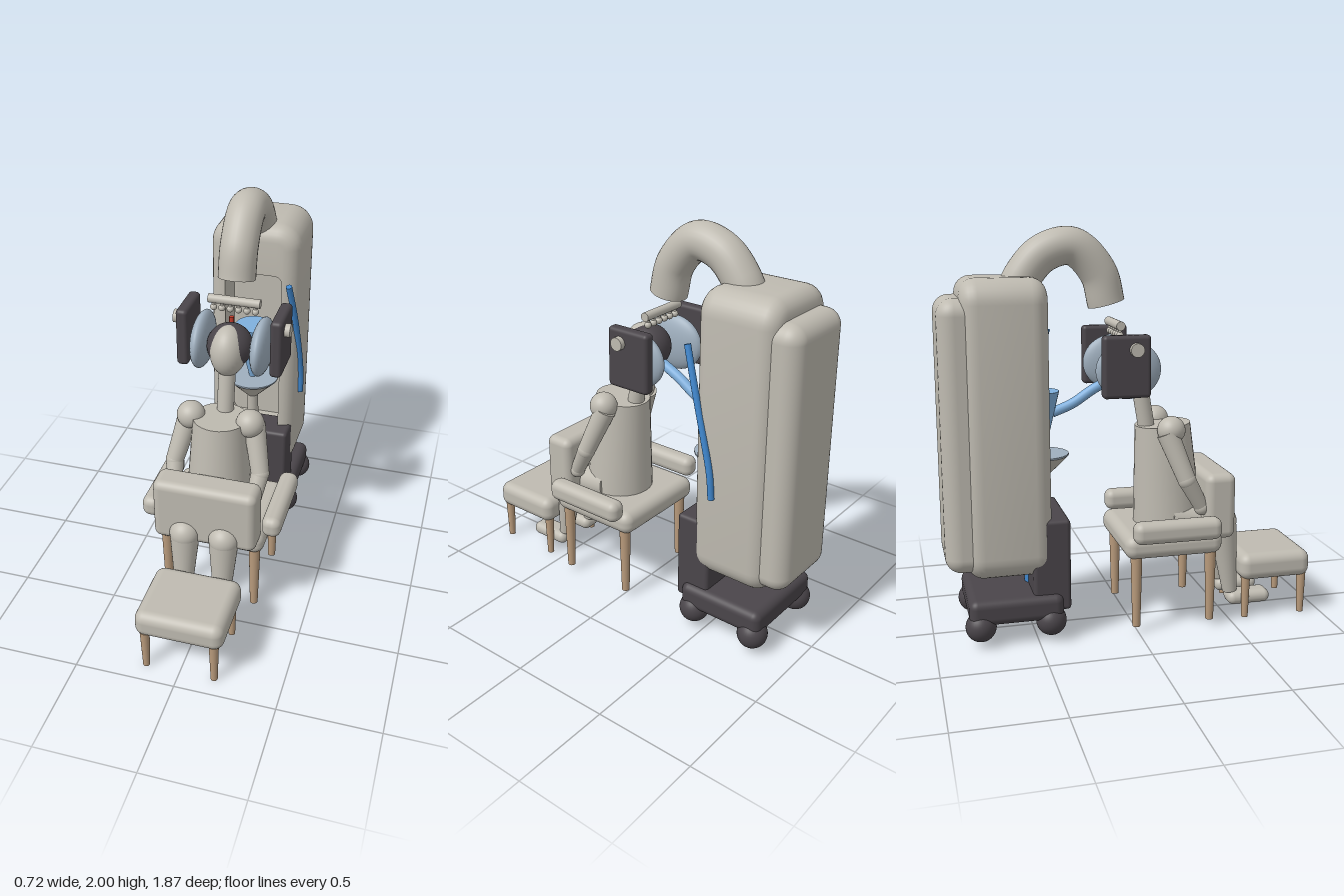
import * as THREE from 'three';
import { toCreasedNormals } from 'three/addons/utils/BufferGeometryUtils.js';
import { RoundedBoxGeometry } from 'three/addons/geometries/RoundedBoxGeometry.js';

const V = (x, y, z) => new THREE.Vector3(x, y, z);

// Skin through rounded-rectangle sections [halfWidth, yMin, yMax, radius, z]
function loft(sections) {
  const seg = 8, n = 4 * (seg + 1), pos = [], idx = [];
  for (const [w, y0, y1, r, z] of sections) {
    for (let c = 0; c < 4; c++) {
      const sx = c === 0 || c === 3 ? 1 : -1;
      const cy = c < 2 ? y1 - r : y0 + r;
      for (let i = 0; i <= seg; i++) {
        const a = (c + i / seg) * Math.PI / 2;
        pos.push(sx * (w - r) + r * Math.cos(a), cy + r * Math.sin(a), z);
      }
    }
  }
  for (let s = 0; s < sections.length - 1; s++) {
    for (let i = 0; i < n; i++) {
      const j = (i + 1) % n, a = s * n, b = a + n;
      idx.push(a + i, a + j, b + j, a + i, b + j, b + i);
    }
  }
  const last = (sections.length - 1) * n;
  for (let i = 1; i < n - 1; i++) {
    idx.push(0, i + 1, i, last, last + i, last + i + 1);
  }
  const g = new THREE.BufferGeometry();
  g.setAttribute('position', new THREE.Float32BufferAttribute(pos, 3));
  g.setIndex(idx);
  return toCreasedNormals(g, 0.7);
}

export function createModel() {
  const model = new THREE.Group();
  model.name = 'chairMachineAndFigure';
  const mat = (name, color) => {
    const m = new THREE.MeshStandardMaterial({ color });
    m.name = name;
    return m;
  };
  const grey = mat('warmGrey', 0xbfbbb1), dark = mat('charcoal', 0x4a454a);
  const tan = mat('wood', 0xb99b7c), steel = mat('paleSteel', 0x9fafbe);
  const sky = mat('lightBlue', 0x7fb0de), blue = mat('blue', 0x3f86cc);
  const red = mat('red', 0xc23b2a);

  const add = (name, geo, material, x = 0, y = 0, z = 0) => {
    const m = new THREE.Mesh(geo, material);
    m.name = name;
    m.position.set(x, y, z);
    model.add(m);
    return m;
  };
  // Rounded box from its extents
  const box = (name, material, x0, x1, y0, y1, z0, z1, r) =>
    add(name, new RoundedBoxGeometry(x1 - x0, y1 - y0, z1 - z0, 5, r), material,
      (x0 + x1) / 2, (y0 + y1) / 2, (z0 + z1) / 2);
  const ball = (name, material, x, y, z, rx, ry = rx, rz = rx) => {
    const m = add(name, new THREE.SphereGeometry(1, 32, 20), material, x, y, z);
    m.scale.set(rx, ry, rz);
    return m;
  };
  // Tapered rod between two points
  const rod = (name, material, a, b, ra, rb = ra) => {
    const d = b.clone().sub(a);
    const m = add(name, new THREE.CylinderGeometry(rb, ra, d.length(), 28), material);
    m.position.copy(a).add(b).multiplyScalar(0.5);
    m.quaternion.setFromUnitVectors(V(0, 1, 0), d.normalize());
    return m;
  };
  const tube = (name, material, points, r) => {
    const curve = new THREE.CatmullRomCurve3(points);
    add(name, new THREE.TubeGeometry(curve, 48, r, 28), material);
    for (const t of [0, 1]) {
      const cap = add(name + 'End', new THREE.CircleGeometry(r, 28), material);
      cap.position.copy(curve.getPoint(t));
      cap.quaternion.setFromUnitVectors(V(0, 0, 1), curve.getTangent(t).multiplyScalar(t ? 1 : -1));
    }
  };

  // Machine cabinet with a rounded niche in its front
  const R = 0.08, sections = [];
  for (let i = 0; i <= 12; i++) {
    const back = i <= 6, a = (back ? i : i - 6) / 6 * Math.PI / 2;
    const inset = R * (1 - (back ? Math.sin(a) : Math.cos(a)));
    const z = back ? -0.83 + R * (1 - Math.cos(a)) : -0.42 - R * (1 - Math.sin(a));
    sections.push([0.235 - inset, 0.32 + inset, 1.77 - inset, 0.12 - inset, z]);
    if (i === 6) sections.push([0.235, 0.32, 1.77, 0.12, -0.42 - R]);
  }
  sections.push([0.15, 0.57, 1.51, 0.04, -0.42], [0.15, 0.57, 1.51, 0.04, -0.66]);
  add('cabinet', loft(sections), grey);
  box('backPack', grey, -0.21, 0.21, 0.36, 1.68, -0.935, -0.6, 0.08);

  // Overhead duct
  tube('duct', grey, [V(0, 1.63, -0.105), V(0, 1.78, -0.145), V(0, 1.905, -0.27),
    V(0, 1.875, -0.41), V(0, 1.77, -0.51), V(0, 1.64, -0.57)], 0.092);

  // Base, front casing, support column and ball wheels
  box('base', dark, -0.25, 0.25, 0.11, 0.24, -0.835, -0.375, 0.04);
  box('frontCasing', dark, -0.22, 0.22, 0.15, 0.61, -0.52, -0.335, 0.02);
  rod('column', blue, V(0, 0.2, -0.49), V(0, 0.5, -0.49), 0.045);
  for (const x of [-0.2, 0.2]) for (const z of [-0.435, -0.78]) ball('wheel', dark, x, 0.1, z, 0.075);

  // Niche fittings: cone, funnel, stem, red rods
  rod('nicheCone', sky, V(0, 0.88, -0.44), V(0, 1.21, -0.44), 0.015, 0.095);
  rod('funnel', grey, V(0, 0.775, -0.44), V(0, 0.89, -0.44), 0.025, 0.137);
  rod('funnelDisc', steel, V(0, 0.89, -0.44), V(0, 0.898, -0.44), 0.138);
  rod('funnelStem', grey, V(0, 0.58, -0.46), V(0, 0.79, -0.44), 0.03);
  for (const x of [-0.117, 0.117]) rod('redRod', red, V(x, 0.94, -0.428), V(x, 1.245, -0.428), 0.013);

  // Hoses
  tube('headHose', sky, [V(0, 1.27, -0.05), V(0, 1.21, -0.17), V(0, 1.14, -0.28), V(0, 1.1, -0.38)], 0.025);
  tube('sideHose', blue, [V(0.2, 1.49, -0.365), V(0.222, 1.3, -0.425), V(0.238, 1.08, -0.49),
    V(0.245, 0.9, -0.535), V(0.245, 0.775, -0.547)], 0.016);

  // Spray bar with nozzles
  rod('sprayBar', grey, V(-0.13, 1.53, -0.062), V(0.13, 1.53, -0.062), 0.022);
  for (let i = 0; i < 6; i++) {
    const x = -0.105 + i * 0.042;
    rod('nozzleStem', grey, V(x, 1.485, -0.062), V(x, 1.525, -0.062), 0.009);
    ball('nozzle', grey, x, 1.485, -0.062, 0.017);
  }

  // Chair
  box('seat', grey, -0.28, 0.28, 0.39, 0.51, -0.07, 0.43, 0.05);
  box('frontPanel', grey, -0.26, 0.26, 0.46, 0.795, 0.345, 0.5, 0.04);
  // Footstool
  box('footstool', grey, -0.22, 0.22, 0.205, 0.345, 0.552, 0.935, 0.05);

  // Figure: torso, neck, head, hair
  const torso = rod('torso', grey, V(0, 0.5, 0.215), V(0, 1.02, 0.185), 0.17, 0.135);
  torso.scale.z = 1.05;
  rod('neck', grey, V(0, 0.98, 0.105), V(0, 1.25, 0.06), 0.042);
  ball('head', grey, 0, 1.315, 0.042, 0.09, 0.13, 0.112);
  ball('hair', dark, 0, 1.33, 0.018, 0.113);

  // Mirrored parts
  for (const s of [-1, 1]) {
    // Head pads and knobs
    ball('earDisc', steel, s * 0.15, 1.32, -0.03, 0.05, 0.142, 0.163);
    box('headPlate', dark, s * 0.235 - 0.03, s * 0.235 + 0.03, 1.2, 1.5, -0.18, 0.055, 0.02);
    rod('knob', grey, V(s * 0.24, 1.432, -0.02), V(s * 0.292, 1.432, -0.02), 0.033);

    box('armrest', grey, s * 0.31 - 0.048, s * 0.31 + 0.048, 0.49, 0.6, -0.045, 0.4, 0.04);
    for (const z of [0.375, -0.01]) rod('chairLeg', tan, V(s * 0.23, 0.035, z), V(s * 0.23, 0.4, z), 0.02, 0.029);
    for (const z of [0.9, 0.59]) rod('stoolLeg', tan, V(s * 0.172, 0, z), V(s * 0.172, 0.22, z), 0.017, 0.024);

    // Arm
    const elbow = V(s * 0.22, 0.77, 0.25), hand = V(s * 0.2, 0.62, 0.335);
    ball('shoulder', grey, s * 0.15, 1.012, 0.188, 0.07);
    rod('upperArm', grey, V(s * 0.165, 1.0, 0.165), elbow, 0.055, 0.045);
    ball('elbow', grey, elbow.x, elbow.y, elbow.z, 0.046);
    rod('forearm', grey, elbow, hand, 0.045, 0.036);
    ball('hand', grey, hand.x, hand.y, hand.z, 0.04);

    // Leg
    const knee = V(s * 0.1, 0.51, 0.48);
    rod('thigh', grey, V(s * 0.1, 0.54, 0.2), knee, 0.08, 0.075);
    ball('knee', grey, knee.x, knee.y, knee.z, 0.076);
    rod('shin', grey, knee, V(s * 0.1, 0.125, 0.53), 0.075, 0.038);
    box('foot', grey, s * 0.1 - 0.058, s * 0.1 + 0.058, 0.055, 0.125, 0.51, 0.74, 0.034);
  }
  return model;
}
